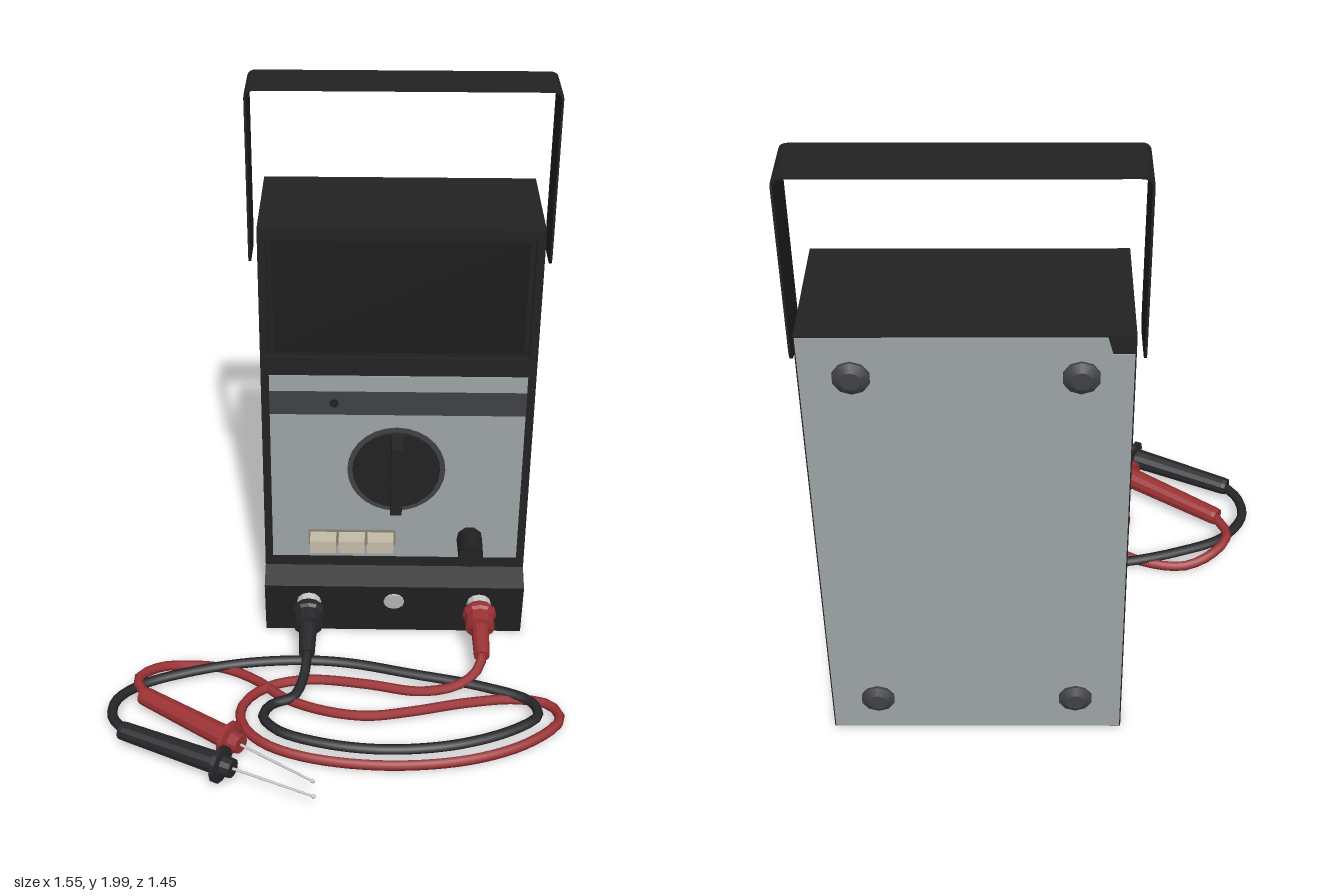
import * as THREE from 'three';

const mat = (name, color) => {
  const m = new THREE.MeshStandardMaterial({ color });
  m.name = name;
  return m;
};

export function createModel() {
  const black = mat('case black', 0x222222);
  const screenBlack = mat('screen black', 0x1c1c1c);
  const grey = mat('panel grey', 0x9ea4a7);
  const charcoal = mat('charcoal', 0x404146);
  const red = mat('red', 0x9c3134);
  const beige = mat('button beige', 0xc6bda9);
  const beigeDark = mat('button frame', 0x8a8478);
  const pale = mat('pale metal', 0xc4c4c2);
  const rubber = mat('cable black', 0x26272a);

  const root = new THREE.Group();
  const CX = 0.195;
  const V = (x, y, z) => new THREE.Vector3(x, y, z);
  const add = (name, geo, m, parent = root) => {
    const mesh = new THREE.Mesh(geo, m);
    mesh.name = name;
    parent.add(mesh);
    return mesh;
  };
  const box = (name, x0, x1, y0, y1, z0, z1, m) =>
    add(name, new THREE.BoxGeometry(x1 - x0, y1 - y0, z1 - z0), m)
      .position.set((x0 + x1) / 2, (y0 + y1) / 2, (z0 + z1) / 2);
  // Disc or tapered cylinder whose axis runs along z from z0 to z1
  const disc = (name, x, y, z0, z1, r0, r1, sides, m) =>
    add(name, new THREE.CylinderGeometry(r1, r0, z1 - z0, sides).rotateX(Math.PI / 2), m)
      .position.set(x, y, (z0 + z1) / 2);
  const poly = (pts) => new THREE.Shape(pts.map(([x, y]) => new THREE.Vector2(x, y)));
  // Shape given in (z, y), extruded across x
  const extrudeX = (shape, width) =>
    new THREE.ExtrudeGeometry(shape, { depth: width, bevelEnabled: false, curveSegments: 6 })
      .translate(0, 0, -width / 2).rotateY(-Math.PI / 2);
  // Turned part: [distance along axis, radius] pairs, starting at a, pointing along dir
  const turned = (name, pts, a, dir, m, parent) => {
    const geo = new THREE.LatheGeometry(pts.map(([d, r]) => new THREE.Vector2(r, d)), 12);
    geo.computeVertexNormals();
    const flat = geo.toNonIndexed();
    flat.computeVertexNormals();
    const mesh = add(name, flat, m, parent);
    mesh.position.copy(a);
    mesh.quaternion.setFromUnitVectors(V(0, 1, 0), dir);
    return mesh;
  };

  // Case: side profile with the projecting socket ledge
  const body = add('caseBody', extrudeX(poly([
    [-0.7, 0.01], [-0.22, 0.01], [-0.19, 0.225], [-0.27, 0.262], [-0.29, 0.27], [-0.29, 1.58], [-0.7, 1.58],
  ]), 0.926), black);
  body.position.x = CX;

  // Front bezel with the display window cut out
  const bezel = poly([[-0.268, 0.26], [0.658, 0.26], [0.658, 1.58], [-0.268, 1.58]]);
  bezel.holes.push(new THREE.Path([[-0.24, 1.11], [-0.24, 1.55], [0.63, 1.55], [0.63, 1.11]]
    .map(([x, y]) => new THREE.Vector2(x, y))));
  add('frontBezel', new THREE.ExtrudeGeometry(bezel, { depth: 0.02, bevelEnabled: false }), black).position.z = -0.29;
  box('screen', -0.222, 0.612, 1.128, 1.532, -0.292, -0.28, screenBlack);

  // Control panel
  box('controlPanel', -0.24, 0.63, 0.305, 1.045, -0.272, -0.267, grey);
  box('panelStripe', -0.24, 0.63, 0.895, 0.985, -0.268, -0.265, charcoal);
  disc('indicator', -0.02, 0.94, -0.266, -0.262, 0.016, 0.016, 10, black);

  // Rotary selector: ring, disc and tapered grip
  disc('dialRing', CX, 0.675, -0.268, -0.264, 0.17, 0.17, 28, charcoal);
  disc('dialDisc', CX, 0.675, -0.268, -0.255, 0.153, 0.15, 24, black);
  add('dialGrip', extrudeX(poly([[-0.26, 0.525], [-0.175, 0.545], [-0.175, 0.81], [-0.26, 0.825]]), 0.04), black)
    .position.x = CX;
  disc('smallKnob', 0.46, 0.39, -0.268, -0.15, 0.046, 0.044, 9, black);

  // Push buttons
  box('buttonFrame', -0.112, 0.197, 0.355, 0.42, -0.27, -0.262, beigeDark);
  for (let i = 0; i < 3; i++) {
    const x = -0.105 + i * 0.101;
    box('pushButton', x, x + 0.092, 0.364, 0.412, -0.268, -0.2, beige);
  }

  // Back plate with one notched corner, and its four feet
  add('backPlate', new THREE.ExtrudeGeometry(poly([
    [-0.264, 0.015], [0.654, 0.015], [0.654, 1.576], [-0.19, 1.576], [-0.205, 1.52], [-0.264, 1.52],
  ]), { depth: 0.004, bevelEnabled: false }), grey).position.z = -0.704;
  for (const x of [-0.12, 0.51]) for (const y of [0.15, 1.445]) {
    disc('backFoot', x, y, -0.712, -0.7, 0.054, 0.054, 10, charcoal);
    disc('backFootCap', x, y, -0.726, -0.712, 0.03, 0.054, 10, charcoal);
  }

  // Carrying handle: thin strap with rounded ends
  const strap = (s, w, top, r, close) => {
    s.moveTo(-w, 1.44).lineTo(-w, top - r).quadraticCurveTo(-w, top, -w + r, top)
      .lineTo(w - r, top).quadraticCurveTo(w, top, w, top - r).lineTo(w, 1.44);
    const v = w - close, t = top - close;
    return s.lineTo(v, 1.44).lineTo(v, t - r).quadraticCurveTo(v, t, v - r, t)
      .lineTo(-v + r, t).quadraticCurveTo(-v, t, -v, t - r).lineTo(-v, 1.44);
  };
  const handle = new THREE.Group();
  handle.name = 'handle';
  handle.position.x = CX;
  root.add(handle);
  add('handleStrap', new THREE.ExtrudeGeometry(strap(new THREE.Shape(), 0.502, 2, 0.03, 0.007),
    { depth: 0.18, bevelEnabled: false, curveSegments: 5 }), black, handle).position.z = -0.575;
  const tab = new THREE.Shape().moveTo(-0.575, 1.44).quadraticCurveTo(-0.575, 1.39, -0.525, 1.39)
    .lineTo(-0.445, 1.39).quadraticCurveTo(-0.395, 1.39, -0.395, 1.44);
  for (const s of [-1, 1]) add('handleEnd', extrudeX(tab, 0.007), black, handle).position.x = s * 0.4985;

  // Sockets on the ledge
  const out = V(0, -0.2, 1).normalize();
  const centre = turned('centreSocket', [[0, 0.037], [0.006, 0.037], [0.006, 0]], V(CX, 0.155, -0.202), out, pale);
  centre.name = 'centreSocket';

  // Test leads: plug, cable, probe and tip; path points are [x, z] with height eased to the table
  function lead(name, m, x, y, path, a, b) {
    const g = new THREE.Group();
    g.name = name;
    root.add(g);
    const start = V(x, 0.152, -0.215);
    turned('socketCollar', [[0, 0.045], [0.06, 0.04], [0.06, 0]], start, out, pale, g);
    turned('plug', [[0.045, 0], [0.045, 0.05], [0.06, 0.06], [0.075, 0.06], [0.085, 0.052], [0.13, 0.052],
      [0.135, 0.032], [0.26, 0.027], [0.26, 0]], start, out, m, g);
    const pts = [V(x, 0.108, 0.02), V(x, 0.1, 0.05)];
    path.forEach(([px, pz], i) => {
      const n = path.length;
      const h = i === 0 ? 0.068 : i === 1 ? 0.045 : i === n - 1 ? a.y - 0.005 : i === n - 2 ? (a.y + y) / 2 : y;
      pts.push(V(px, h, pz));
    });
    pts.push(a.clone());
    add('cable', new THREE.TubeGeometry(new THREE.CatmullRomCurve3(pts), 100, 0.0175, 7), m, g);
    const dir = b.clone().sub(a), len = dir.length();
    dir.normalize();
    const L = len * 0.58;
    turned('probeHandle', [[-0.015, 0], [-0.015, 0.03], [0, 0.032], [L - 0.06, 0.038], [L - 0.055, 0.063], [L - 0.04, 0.063],
      [L - 0.035, 0.036], [L, 0.032], [L, 0]], a, dir, m, g);
    turned('probeTip', [[L - 0.01, 0.005], [len - 0.012, 0.004], [len - 0.01, 0.007], [len, 0.005], [len, 0]], a, dir, pale, g);
  }

  lead('blackLead', rubber, -0.11, 0.045, [
    [-0.12, 0.13], [-0.15, 0.2], [-0.22, 0.24], [-0.25, 0.3], [-0.2, 0.37], [-0.05, 0.43], [0.16, 0.458],
    [0.4, 0.43], [0.6, 0.35], [0.68, 0.28], [0.66, 0.21], [0.5, 0.135], [0.25, 0.07], [0.05, 0.02],
    [-0.1, 0.005], [-0.3, 0.02], [-0.5, 0.07], [-0.68, 0.15], [-0.755, 0.25], [-0.75, 0.34],
  ], V(-0.7, 0.065, 0.41), V(-0.06, 0.078, 0.717));
  lead('redLead', red, 0.5, 0.028, [
    [0.47, 0.1], [0.4, 0.137], [0.28, 0.145], [0.1, 0.11], [-0.1, 0.09], [-0.24, 0.13], [-0.32, 0.22],
    [-0.32, 0.32], [-0.25, 0.41], [-0.1, 0.48], [0.17, 0.515], [0.45, 0.48], [0.65, 0.39], [0.755, 0.28],
    [0.73, 0.21], [0.62, 0.18], [0.45, 0.2], [0.25, 0.25], [0.1, 0.275], [-0.05, 0.25], [-0.18, 0.19],
    [-0.28, 0.1], [-0.4, 0.035], [-0.53, 0.02], [-0.63, 0.06], [-0.69, 0.14],
  ], V(-0.65, 0.07, 0.24), V(-0.065, 0.078, 0.65));

  return root;
}
